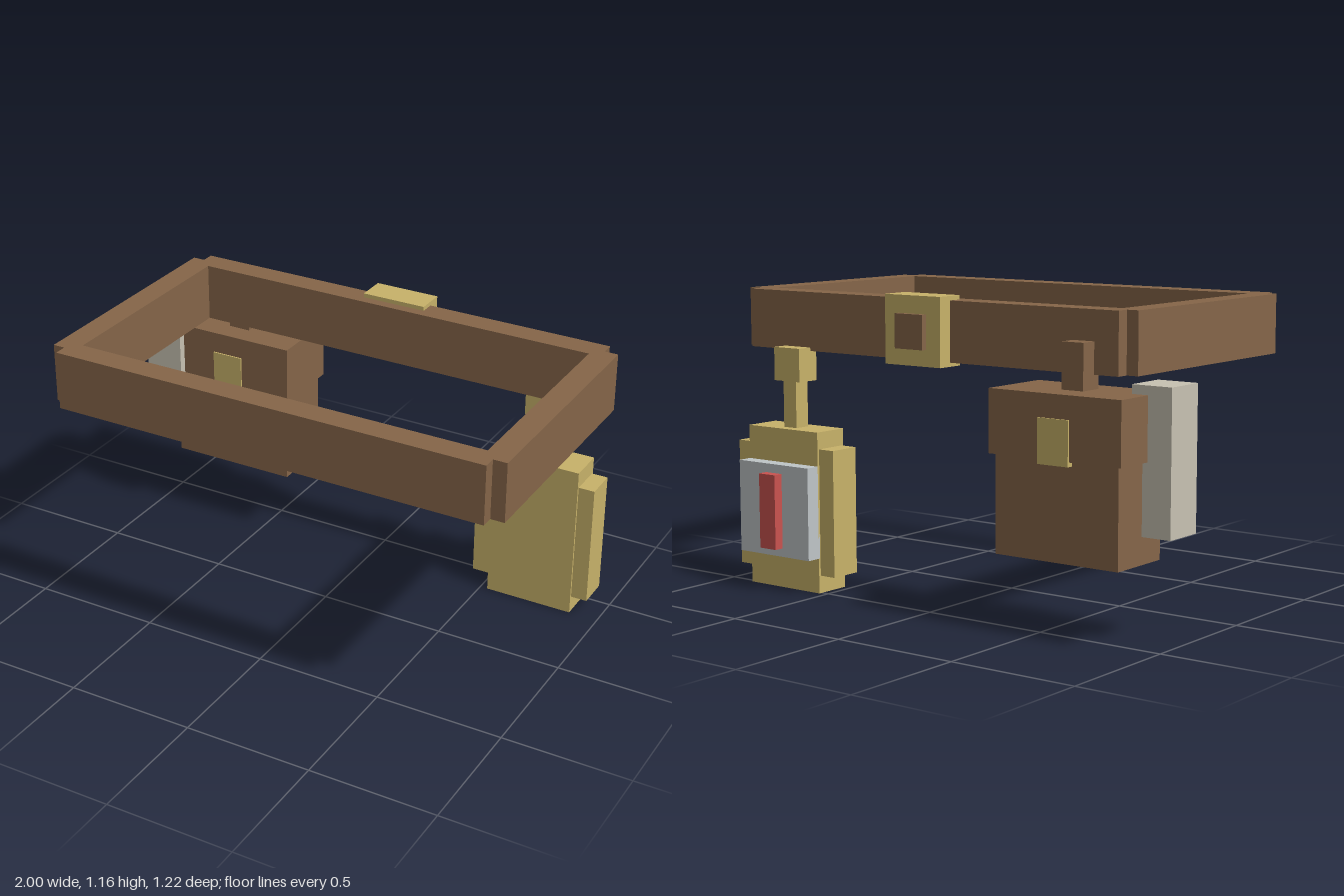
import * as THREE from 'three';

function material(name, color) {
  const m = new THREE.MeshStandardMaterial({ color });
  m.name = name;
  return m;
}

export function createModel() {
  const leather = material('brown leather', 0x866649);
  const brass = material('brass', 0xc9b36a);
  const bone = material('pale bone', 0xc9c3b3);
  const steel = material('light steel', 0xc0c6c8);
  const red = material('red', 0xcb5350);

  const model = new THREE.Group();
  model.name = 'utilityBelt';

  function group(name) {
    const g = new THREE.Group();
    g.name = name;
    model.add(g);
    return g;
  }

  // Box given by its [min, max] range on each axis
  function box(parent, name, mat, [x0, x1], [y0, y1], [z0, z1]) {
    const mesh = new THREE.Mesh(new THREE.BoxGeometry(x1 - x0, y1 - y0, z1 - z0), mat);
    mesh.position.set((x0 + x1) / 2, (y0 + y1) / 2, (z0 + z1) / 2);
    mesh.name = name;
    parent.add(mesh);
  }

  // Belt: four straps overlapping at notched corners
  const belt = group('belt');
  const beltY = [0.915, 1.14];
  box(belt, 'frontStrap', leather, [-0.773, 0.947], beltY, [0.515, 0.612]);
  box(belt, 'backStrap', leather, [-0.773, 0.947], beltY, [-0.427, -0.332]);
  box(belt, 'rightStrap', leather, [-0.82, -0.725], beltY, [-0.377, 0.563]);
  box(belt, 'leftStrap', leather, [0.905, 1], beltY, [-0.377, 0.563]);

  // Buckle on the back strap
  const buckle = group('buckle');
  box(buckle, 'bucklePlate', brass, [-0.042, 0.215], [0.9, 1.156], [-0.484, -0.37]);
  box(buckle, 'buckleInset', leather, [0.022, 0.151], [0.962, 1.09], [-0.507, -0.48]);

  // Hanging pouch with overlapping flap and a clasp showing on both faces
  const pouch = group('pouch');
  box(pouch, 'pouchBody', leather, [-0.885, -0.37], [0.28, 0.66], [-0.588, -0.33]);
  box(pouch, 'pouchFlap', leather, [-0.905, -0.354], [0.636, 0.864], [-0.605, -0.312]);
  box(pouch, 'pouchClasp', brass, [-0.695, -0.567], [0.62, 0.78], [-0.612, -0.306]);
  box(pouch, 'pouchLoop', leather, [-0.673, -0.583], [0.85, 1.03], [-0.492, -0.4]);
  box(pouch, 'sideBlock', bone, [-1, -0.84], [0.378, 0.897], [-0.445, -0.282]);

  // Hanging flask with side wings and a badge on its outer face
  const flask = group('flask');
  box(flask, 'flaskBody', brass, [0.53, 0.884], [0, 0.62], [-0.516, -0.37]);
  box(flask, 'flaskWings', brass, [0.46, 0.948], [0.068, 0.555], [-0.507, -0.379]);
  box(flask, 'flaskNeck', brass, [0.674, 0.738], [0.6, 0.81], [-0.475, -0.41]);
  box(flask, 'flaskCap', brass, [0.641, 0.77], [0.8, 0.928], [-0.49, -0.394]);
  box(flask, 'badgePlate', steel, [0.53, 0.884], [0.135, 0.49], [-0.573, -0.51]);
  box(flask, 'badgeStripe', red, [0.664, 0.744], [0.168, 0.456], [-0.612, -0.565]);

  return model;
}
